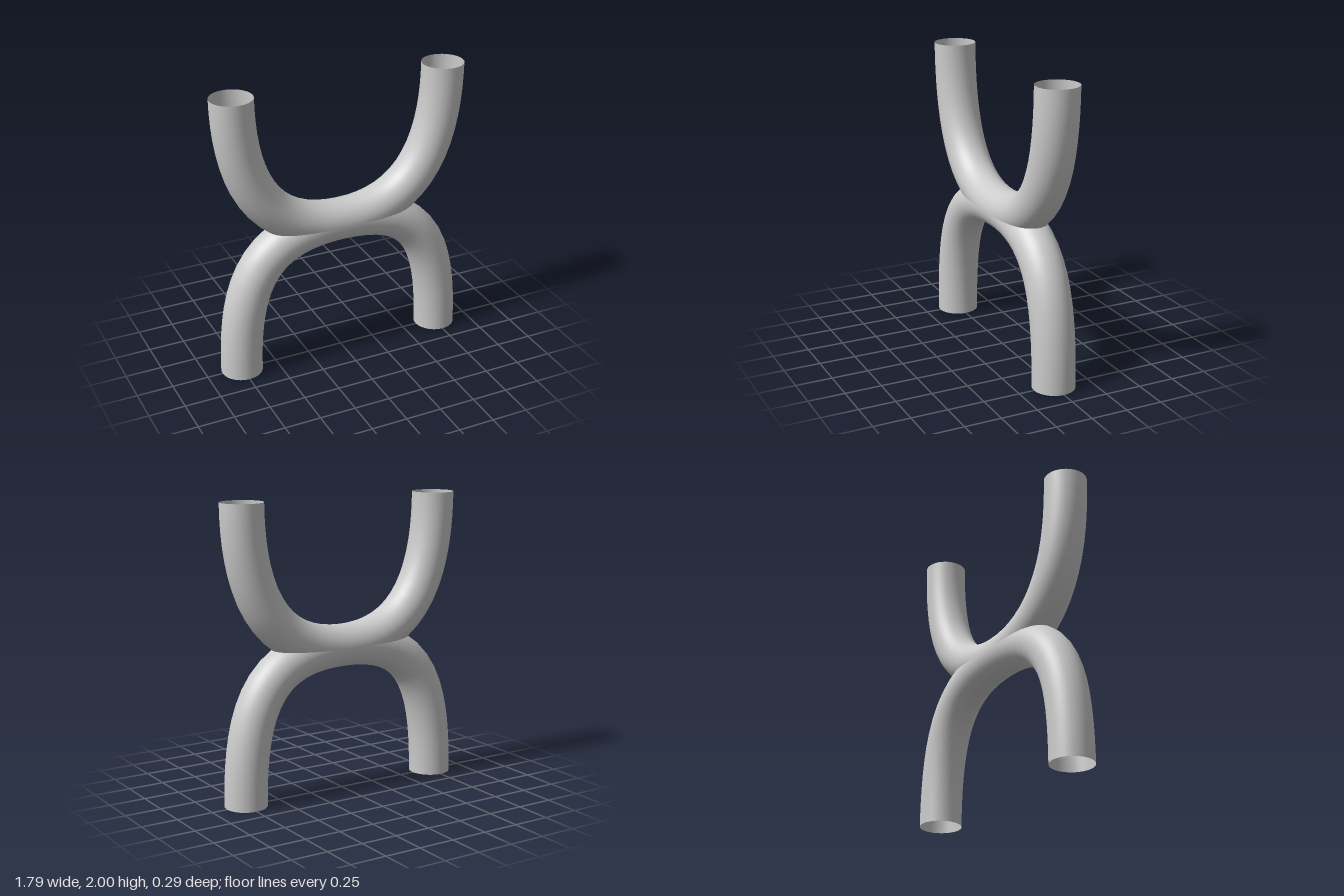
import * as THREE from 'three';

const RADIUS = 0.143;
const END_X = 0.75;

// Open arch-shaped pipe, from one end at endY through (0, 1) and back to endY.
function archPipe(name, endY, shoulderX, shoulderY, material) {
  const v = (x, y) => new THREE.Vector3(x, y, 0);
  const path = new THREE.CurvePath();
  path.add(new THREE.CubicBezierCurve3(
    v(-END_X, endY), v(-END_X, shoulderY), v(-shoulderX, 1), v(0, 1)));
  path.add(new THREE.CubicBezierCurve3(
    v(0, 1), v(shoulderX, 1), v(END_X, shoulderY), v(END_X, endY)));
  const mesh = new THREE.Mesh(new THREE.TubeGeometry(path, 32, RADIUS, 40, false), material);
  mesh.name = name;
  return mesh;
}

export function createModel() {
  const group = new THREE.Group();
  group.name = 'crossedPipes';
  const material = new THREE.MeshStandardMaterial({ color: 0xcccccc, side: THREE.DoubleSide });

  // Upper U-shaped pipe, and the slightly squarer arch that carries it
  group.add(archPipe('upperPipe', 2, 0.5, 1.333, material));
  group.add(archPipe('lowerPipe', 0, 0.58, 0.7, material));
  return group;
}
